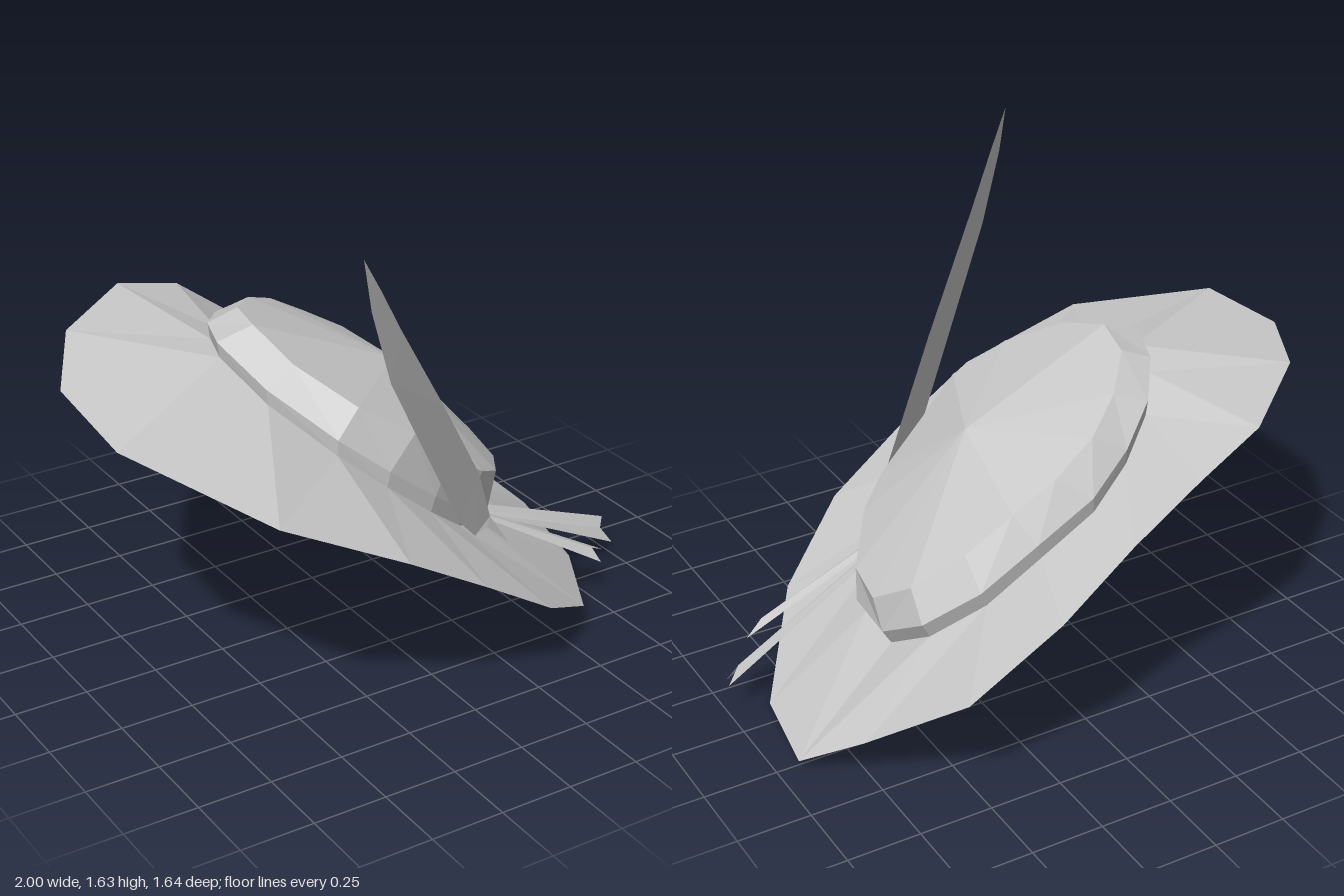
import * as THREE from 'three';

const material = new THREE.MeshStandardMaterial({ color: 0xcccccc, flatShading: true, side: THREE.DoubleSide });

// Mesh from a list of triangles, each corner being [x, y, z]
function facets(name, triangles) {
  const geometry = new THREE.BufferGeometry();
  geometry.setAttribute('position', new THREE.Float32BufferAttribute(triangles.flat(2), 3));
  geometry.computeVertexNormals();
  const mesh = new THREE.Mesh(geometry, material);
  mesh.name = name;
  return mesh;
}

// Closed strip joining two rings; the diagonals lean towards point 0 on both halves
function loft(lower, upper) {
  const triangles = [];
  lower.forEach((a, i) => {
    const j = (i + 1) % lower.length;
    if (i < lower.length / 2) {
      triangles.push([a, lower[j], upper[i]], [lower[j], upper[j], upper[i]]);
    } else {
      triangles.push([a, lower[j], upper[j]], [a, upper[j], upper[i]]);
    }
  });
  return triangles;
}

// Open strip between two edges with equal point counts
function strip(left, right) {
  const triangles = [];
  for (let i = 0; i < left.length - 1; i++) {
    triangles.push([left[i], left[i + 1], right[i + 1]], [left[i], right[i + 1], right[i]]);
  }
  return triangles;
}

// Tilted rings, running from the raised -x side round by the front
const brimEdge = [
  [-0.99, 1.03, -0.09], [-1, 0.99, 0.31], [-0.69, 0.83, 0.72], [-0.3, 0.65, 0.82],
  [0, 0.47, 0.8], [0.28, 0.29, 0.76], [0.57, 0.11, 0.56], [0.86, 0, 0.1],
  [0.93, 0.03, -0.27], [0.79, 0.17, -0.46], [0.58, 0.42, -0.76], [0.29, 0.65, -0.82],
  [0.01, 0.81, -0.77], [-0.22, 0.98, -0.78], [-0.48, 1.06, -0.71], [-0.81, 1.07, -0.42],
];
const crownSide = [
  [-0.48, 1.1, -0.02], [-0.43, 1.01, 0.2], [-0.28, 0.87, 0.38], [-0.12, 0.74, 0.43],
  [0.06, 0.6, 0.42], [0.22, 0.48, 0.36], [0.38, 0.4, 0.26], [0.56, 0.35, 0.03],
  [0.58, 0.36, -0.19], [0.53, 0.47, -0.37], [0.38, 0.6, -0.48], [0.2, 0.74, -0.52],
  [0, 0.85, -0.52], [-0.16, 0.95, -0.46], [-0.3, 1.04, -0.36], [-0.42, 1.09, -0.19],
];
const crownRim = [
  [-0.36, 1.14, 0], [-0.33, 1.07, 0.2], [-0.2, 0.96, 0.37], [-0.03, 0.85, 0.43],
  [0.12, 0.71, 0.41], [0.29, 0.6, 0.35], [0.41, 0.53, 0.26], [0.55, 0.46, 0.05],
  [0.59, 0.47, -0.15], [0.53, 0.57, -0.3], [0.39, 0.7, -0.4], [0.25, 0.83, -0.45],
  [0.1, 0.92, -0.46], [-0.05, 1.01, -0.43], [-0.19, 1.08, -0.33], [-0.32, 1.13, -0.17],
];
const crownBase = crownSide.map(([x, y, z]) => [x * 0.96 - 0.01, y - 0.055, z * 0.98]);
const crownPeak = [0.17, 0.9, -0.01];

export function createModel() {
  const hat = new THREE.Group();
  hat.name = 'featheredHat';

  // Brim, open in the middle
  hat.add(facets('brim', loft(brimEdge, crownBase)));

  // Crown: narrow band, sloping shoulder and shallow domed top
  hat.add(facets('crownBand', loft(crownBase, crownSide)));
  hat.add(facets('crownShoulder', loft(crownSide, crownRim)));
  hat.add(facets('crownTop', crownRim.map((p, i) => [crownPeak, p, crownRim[(i + 1) % crownRim.length]])));

  // Feather, tip to quill
  hat.add(facets('feather', strip(
    [[-0.43, 1.63, 0.76], [-0.41, 1.47, 0.77], [-0.33, 1.22, 0.75], [0.1, 0.53, 0.5],
      [0.21, 0.42, 0.43], [0.3, 0.4, 0.37], [0.42, 0.29, 0.33]],
    [[-0.43, 1.63, 0.76], [-0.34, 1.5, 0.71], [-0.23, 1.33, 0.65], [0.02, 0.97, 0.51],
      [0.27, 0.6, 0.36], [0.34, 0.41, 0.33], [0.42, 0.29, 0.33]],
  )));

  // Two creased ribbon tails with notched ends: [base, tip] for each edge and the crease
  const tails = [
    [[[0.36, 0.4, 0.21], [1, 0.12, 0.1]], [[0.36, 0.39, 0.24], [0.93, 0.13, 0.18]], [[0.36, 0.38, 0.26], [0.97, 0.07, 0.2]]],
    [[[0.34, 0.4, 0.25], [0.84, 0.13, 0.31]], [[0.34, 0.4, 0.28], [0.77, 0.17, 0.34]], [[0.34, 0.39, 0.3], [0.78, 0.13, 0.38]]],
  ];
  tails.forEach(([inner, crease, outer], i) => {
    hat.add(facets(`ribbonTail${i + 1}`, [...strip(crease, inner), ...strip(outer, crease)]));
  });

  return hat;
}
